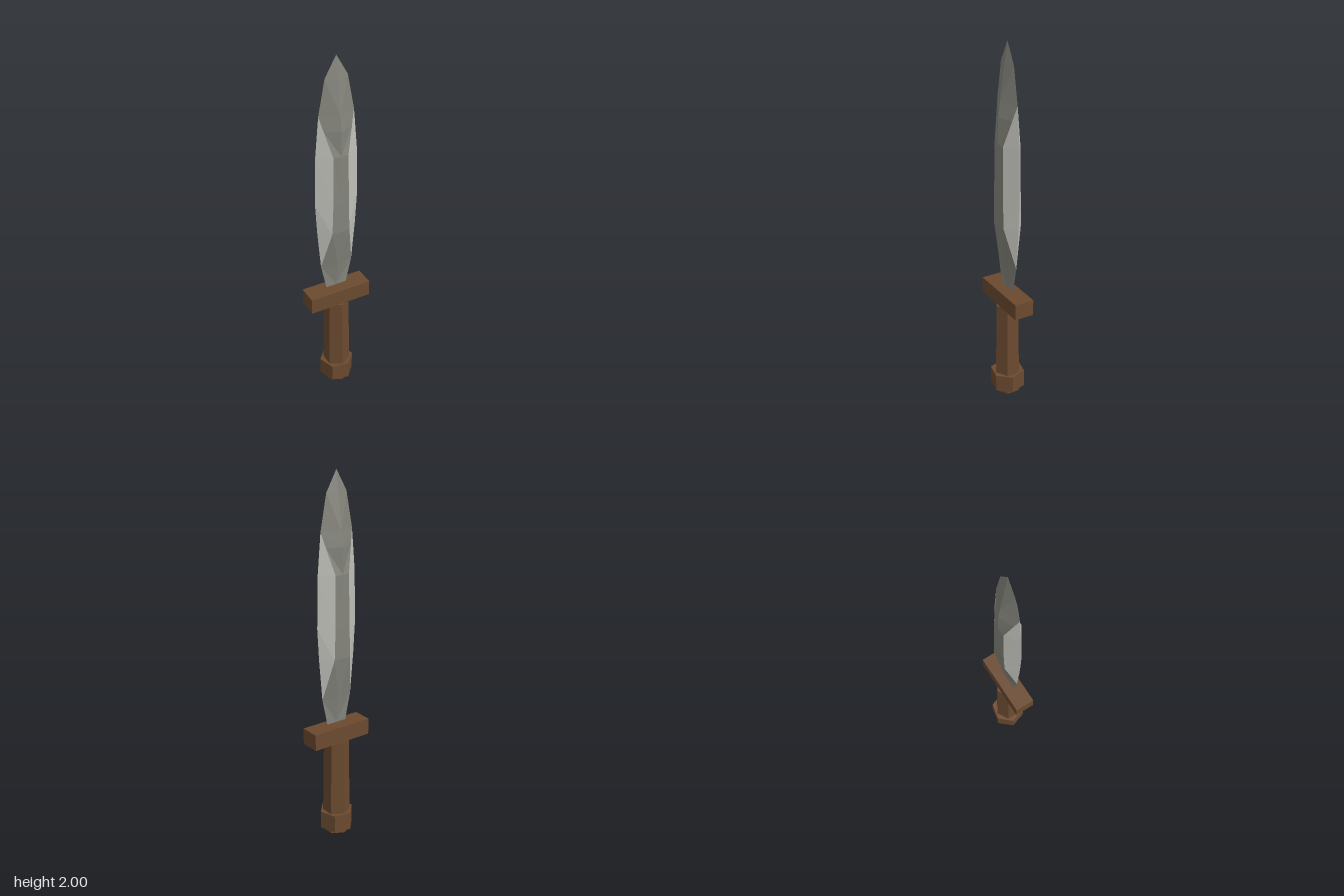
import * as THREE from 'three';

const flat = (name, color, side = THREE.FrontSide) => {
  const m = new THREE.MeshStandardMaterial({ color, flatShading: true, side });
  m.name = name;
  return m;
};

// Blade cross-sections: height, half width, bevel start, bevel depth, ridge depth
const SECTIONS = [
  [0.65, 0.06, 0.06, 0, 0],
  [0.8, 0.092, 0.092, 0, 0.022],
  [1.03, 0.112, 0.05, 0.052, 0.053],
  [1.2, 0.122, 0.045, 0.053, 0.055],
  [1.48, 0.117, 0.042, 0.05, 0.054],
  [1.62, 0.105, 0.078, 0.018, 0.053],
  [1.7, 0.098, 0.098, 0, 0.043],
  [1.89, 0.062, 0.062, 0, 0.016],
  [2.0, 0, 0, 0, 0],
];
const ridge = ([y, , , , z]) => new THREE.Vector3(0, y, z);
const bevel = ([y, , x, z]) => new THREE.Vector3(x, y, z);
const edge = ([y, x]) => new THREE.Vector3(x, y, 0);

// One strip between two lengthwise lines, mirrored into all four quarters
function strip(inner, outer) {
  const pos = [];
  const tri = (a, b, c, sx, sz) => {
    if (new THREE.Triangle(a, b, c).getArea() < 1e-7) return;
    const order = sx * sz > 0 ? [a, b, c] : [a, c, b];
    for (const p of order) pos.push(p.x * sx, p.y, p.z * sz);
  };
  for (const sx of [1, -1]) for (const sz of [1, -1]) {
    for (let i = 0; i < SECTIONS.length - 1; i++) {
      const s = SECTIONS[i], t = SECTIONS[i + 1];
      tri(inner(s), outer(s), outer(t), sx, sz);
      tri(inner(s), outer(t), inner(t), sx, sz);
    }
  }
  const g = new THREE.BufferGeometry();
  g.setAttribute('position', new THREE.Float32BufferAttribute(pos, 3));
  g.computeVertexNormals();
  return g;
}

export function createModel() {
  const group = new THREE.Group();
  group.name = 'dagger';
  const wood = flat('brown wood', 0x6b4a2f);
  const steel = flat('dark steel', 0x84847c);
  const sharp = flat('polished steel', 0xc0c1ba);

  const add = (name, geometry, material, y = 0) => {
    const mesh = new THREE.Mesh(geometry, material);
    mesh.name = name;
    mesh.position.y = y;
    group.add(mesh);
  };

  // Blade: dark body with pale ground edges
  add('bladeBody', strip(ridge, bevel), steel);
  add('bladeEdges', strip(bevel, edge), sharp);

  // Hilt: crossguard, tapered hexagonal grip and turned hexagonal pommel
  add('crossguard', new THREE.BoxGeometry(0.354, 0.09, 0.11), wood, 0.595);
  add('grip', new THREE.CylinderGeometry(0.068, 0.076, 0.55, 6), wood, 0.275);
  add('pommel', new THREE.CylinderGeometry(0.095, 0.095, 0.1, 6, 1, false, 0.32), wood, 0.07);

  return group;
}
